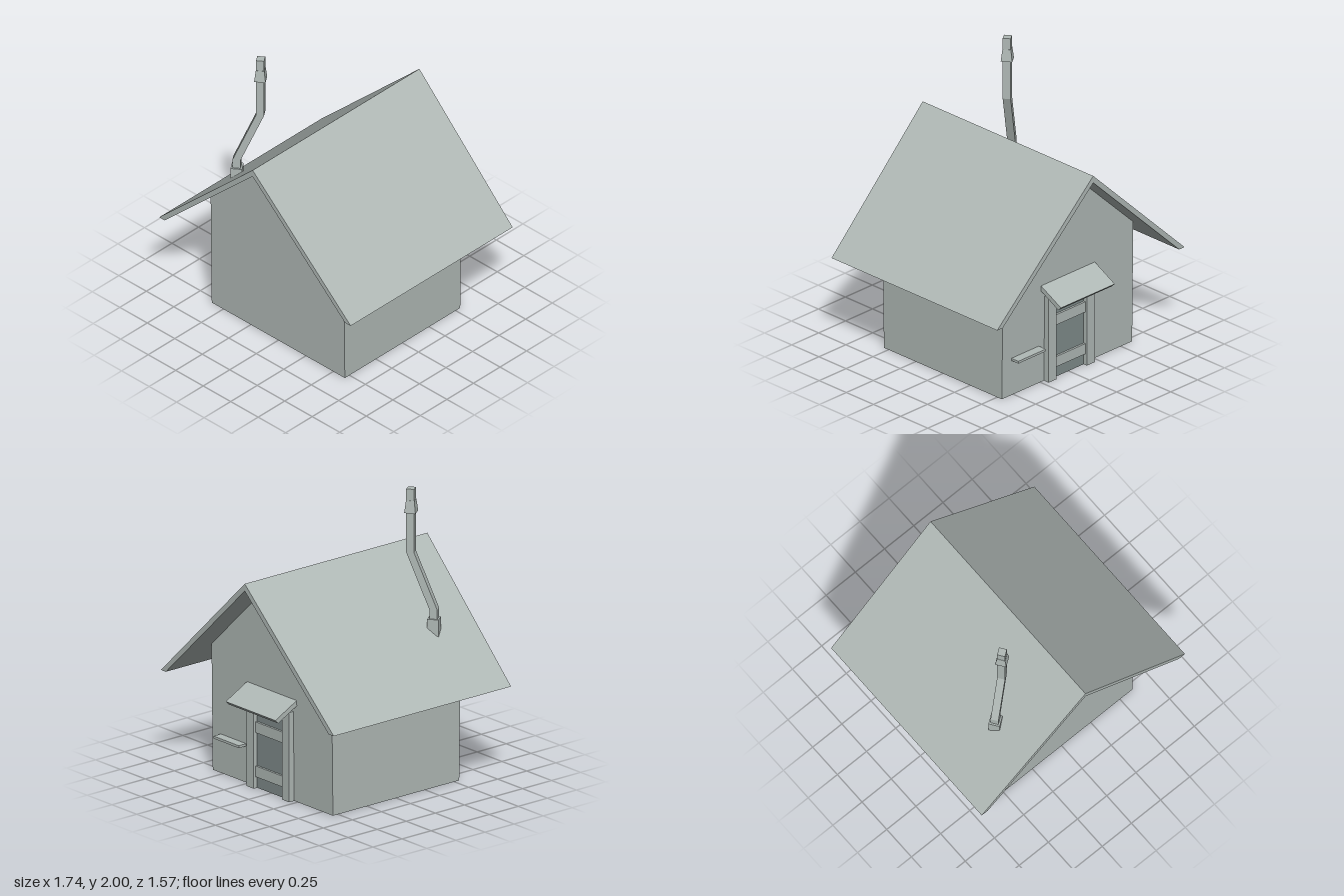
import * as THREE from 'three';

const grey = new THREE.MeshStandardMaterial({ color: 0xb0b9b6 });
grey.name = 'pale grey';
const dark = new THREE.MeshStandardMaterial({ color: 0x7f8b8a });
dark.name = 'door grey';

// Extrudes an x-y outline both ways along z; depth(x, y) gives the half depth.
function slab(points, depth) {
  const shape = new THREE.Shape(points.map(([x, y]) => new THREE.Vector2(x, y)));
  const geo = new THREE.ExtrudeGeometry(shape, { depth: 2, bevelEnabled: false });
  const p = geo.attributes.position;
  for (let i = 0; i < p.count; i++) {
    p.setZ(i, (p.getZ(i) > 1 ? 1 : -1) * depth(p.getX(i), p.getY(i)));
  }
  geo.computeVertexNormals();
  return geo;
}

// Square tube through rings listed from top to bottom as [x, y, z, half width].
function squareTube(rings) {
  const n = rings.length - 1;
  const geo = new THREE.CylinderGeometry(Math.SQRT2, Math.SQRT2, n, 4, n, false, Math.PI / 4)
    .rotateY(0.62).toNonIndexed();
  const p = geo.attributes.position;
  for (let i = 0; i < p.count; i++) {
    const [x, y, z, h] = rings[Math.round(n / 2 - p.getY(i))];
    p.setXYZ(i, x + p.getX(i) * h, y, z + p.getZ(i) * h);
  }
  geo.computeVertexNormals();
  return geo;
}

// Box given by its minimum and maximum corners.
function box(x0, x1, y0, y1, z0, z1) {
  return new THREE.BoxGeometry(x1 - x0, y1 - y0, z1 - z0)
    .translate((x0 + x1) / 2, (y0 + y1) / 2, (z0 + z1) / 2);
}

export function createModel() {
  const house = new THREE.Group();
  house.name = 'house';
  const add = (name, geo, mat = grey, parent = house) => {
    const mesh = new THREE.Mesh(geo, mat);
    mesh.name = name;
    parent.add(mesh);
    return mesh;
  };
  const group = (name) => {
    const g = new THREE.Group();
    g.name = name;
    house.add(g);
    return g;
  };

  // Gabled body, leaning out slightly towards the top
  add('walls', slab(
    [[-0.605, 0], [0.605, 0], [0.605, 0.875], [0, 1.45], [-0.605, 0.875]],
    (x, y) => 0.543 + 0.012 * y,
  ));

  // Roof, a little longer at the ridge than at the eaves
  add('roof', slab(
    [[0.87, 0.67], [0, 1.5], [-0.87, 0.67], [-0.82, 0.67], [0, 1.45], [0.82, 0.67]],
    (x) => 0.785 - 0.026 * Math.abs(x),
  ));

  // Bent stovepipe with its collar and cap
  const chimney = group('chimney');
  const [bx, bz, tx, tz] = [-0.477, 0.437, -0.347, 0.35];
  add('chimneyCollar', squareTube([[bx, 1.115, bz, 0.038], [bx, 1.0, bz, 0.038]]), grey, chimney);
  add('chimneyPipe', squareTube([
    [tx, 2, tz, 0.0265], [tx, 1.56, tz, 0.0265], [bx, 1.18, bz, 0.0265], [bx, 1.05, bz, 0.0265],
  ]), grey, chimney);
  add('chimneyCap', squareTube([[tx, 1.92, tz, 0.028], [tx, 1.835, tz, 0.038]]), grey, chimney);

  // Door at the back, with posts and two crossbars
  const door = group('door');
  add('doorPanel', box(-0.15, 0.15, 0, 0.62, -0.557, -0.548), dark, door);
  for (const side of [-1, 1]) {
    add('doorPost', box(side * 0.178 - 0.037, side * 0.178 + 0.037, 0, 0.62, -0.587, -0.53), grey, door);
  }
  for (const y of [0.08, 0.385]) {
    add('doorBar', box(-0.145, 0.145, y, y + 0.075, -0.572, -0.54), grey, door);
  }

  // Sloping canopy over the door
  const canopy = slab(
    [[0.52, 0.685], [0.71, 0.583], [0.735, 0.608], [0.52, 0.722]].map(([z, y]) => [z, y]),
    () => 0.25,
  ).rotateY(Math.PI / 2);
  add('canopy', canopy);

  // Small shelf beside the door
  add('shelf', box(0.265, 0.52, 0.253, 0.27, -0.61, -0.53));

  return house;
}
